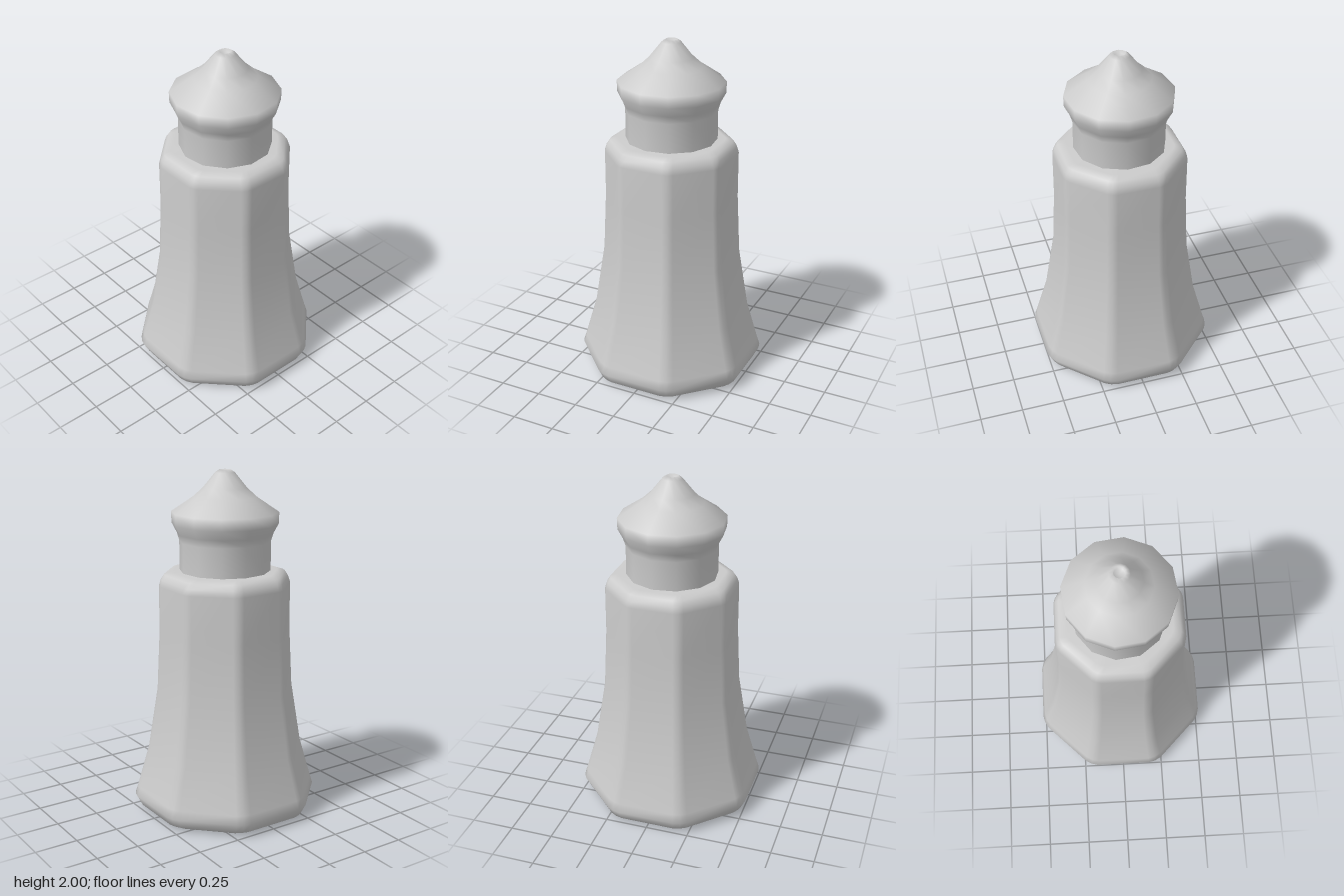
import * as THREE from 'three';

const material = new THREE.MeshStandardMaterial({ color: 0xcccccc, side: THREE.DoubleSide });

// Octagon of apothem 1 with softly bevelled corners, three points per corner
function octagonRing() {
  const ring = [];
  for (let i = 0; i < 8; i++) {
    const turn = (i * Math.PI) / 4;
    for (const [u, v] of [[1, 0.325], [0.979, 0.405], [0.937, 0.477]]) {
      ring.push([
        u * Math.cos(turn) - v * Math.sin(turn),
        u * Math.sin(turn) + v * Math.cos(turn),
      ]);
    }
  }
  return ring;
}

// Stacks scaled copies of a ring along y and closes both ends
function loft(ring, profile) {
  const n = ring.length;
  const positions = [];
  const index = [];
  for (const [s, y] of profile) {
    for (const [x, z] of ring) positions.push(x * s, y, z * s);
  }
  for (let r = 0; r < profile.length - 1; r++) {
    for (let i = 0; i < n; i++) {
      const a = r * n + i;
      const b = r * n + ((i + 1) % n);
      index.push(a, a + n, b, b, a + n, b + n);
    }
  }
  const bottom = positions.length / 3;
  const top = bottom + 1;
  const last = (profile.length - 1) * n;
  positions.push(0, profile[0][1], 0, 0, profile[profile.length - 1][1], 0);
  for (let i = 0; i < n; i++) {
    const j = (i + 1) % n;
    index.push(bottom, i, j, top, last + j, last + i);
  }
  const geometry = new THREE.BufferGeometry();
  geometry.setAttribute('position', new THREE.Float32BufferAttribute(positions, 3));
  geometry.setIndex(index);
  geometry.computeVertexNormals();
  return geometry;
}

export function createModel() {
  const group = new THREE.Group();
  group.name = 'tower';

  // Flared octagonal body with rounded foot and shoulder
  const body = new THREE.Mesh(loft(octagonRing(), [
    [0.45, 0], [0.487, 0.022], [0.515, 0.08], [0.5, 0.13], [0.435, 0.37],
    [0.38, 0.73], [0.363, 1.08], [0.362, 1.35], [0.351, 1.385],
    [0.332, 1.415], [0.29, 1.43],
  ]), material);
  body.name = 'body';
  group.add(body);

  // Twelve-sided neck, flared rim and pointed cap with a small dished tip
  const headProfile = [
    [0.262, 1.42], [0.262, 1.6], [0.276, 1.645], [0.305, 1.7], [0.307, 1.765],
    [0.18, 1.85], [0.125, 1.9], [0.056, 1.985], [0.034, 2], [0.03, 1.98], [0, 1.98],
  ].map(([r, y]) => new THREE.Vector2(r, y));
  const head = new THREE.Mesh(new THREE.LatheGeometry(headProfile, 12, Math.PI / 8), material);
  head.name = 'head';
  group.add(head);

  return group;
}
